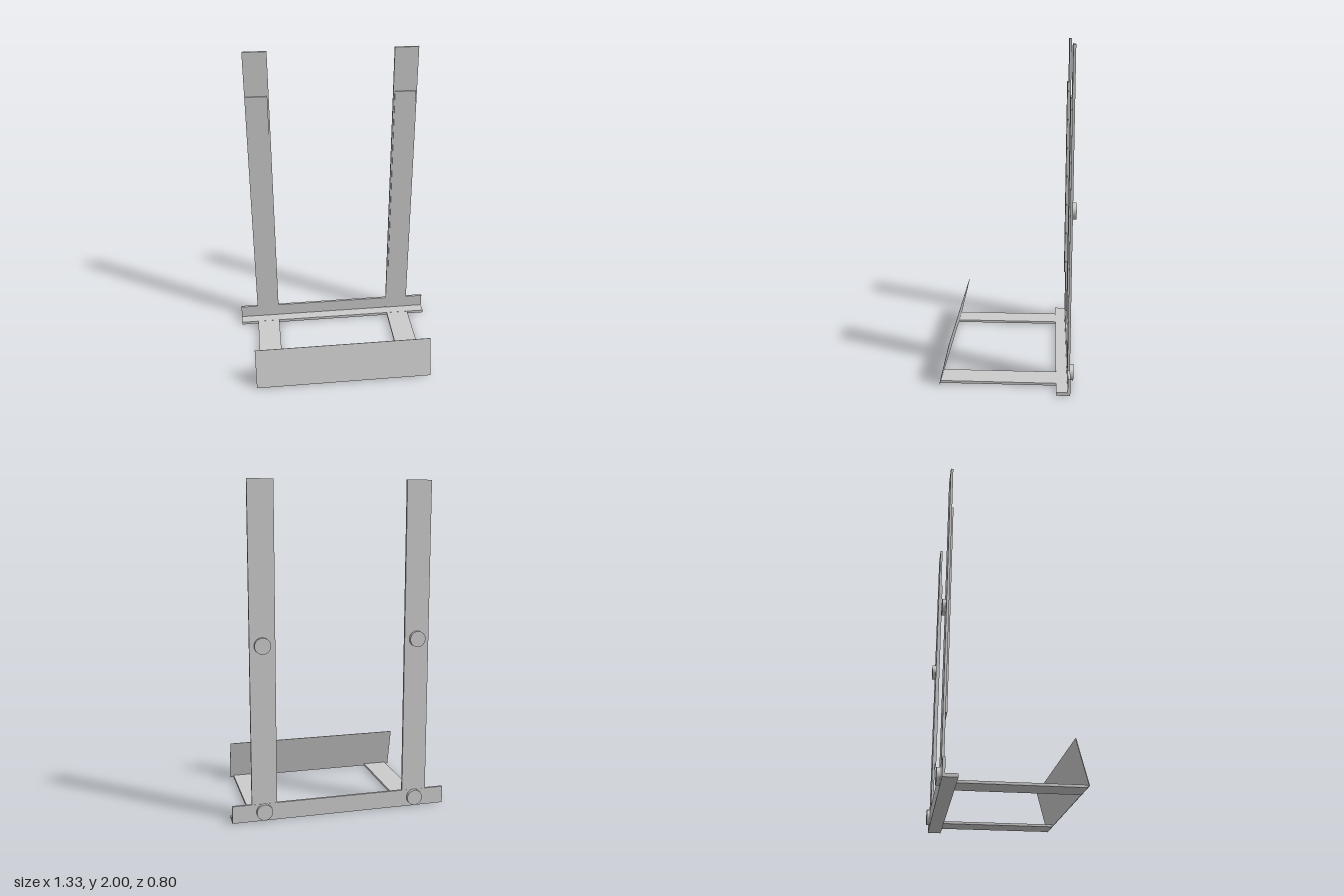
import * as THREE from 'three';

const material = new THREE.MeshStandardMaterial({ color: 0xcccccc, flatShading: true });
const smooth = new THREE.MeshStandardMaterial({ color: 0xcccccc });

export function createModel() {
  const group = new THREE.Group();

  // Box given by its extents along each axis
  function slab(name, [x0, x1], [y0, y1], [z0, z1]) {
    const mesh = new THREE.Mesh(new THREE.BoxGeometry(x1 - x0, y1 - y0, z1 - z0), material);
    mesh.position.set((x0 + x1) / 2, (y0 + y1) / 2, (z0 + z1) / 2);
    mesh.name = name;
    group.add(mesh);
  }

  // L-section rail across the back
  const rail = new THREE.Shape([
    [0.38, 0], [0.297, 0], [0.297, 0.02], [0.365, 0.02], [0.365, 0.105], [0.38, 0.105],
  ].map(([x, y]) => new THREE.Vector2(x, y)));
  const railGeometry = new THREE.ExtrudeGeometry(rail, { depth: 1.33, bevelEnabled: false });
  railGeometry.rotateY(Math.PI / 2).translate(-0.665, 0, 0);
  const railMesh = new THREE.Mesh(railGeometry, material);
  railMesh.name = 'angleRail';
  group.add(railMesh);

  for (const side of [-1, 1]) {
    const label = side > 0 ? 'left' : 'right';
    const span = (a, b) => (side > 0 ? [a, b] : [-b, -a]);

    // Upright, its front pad and the floor arm
    slab(label + 'Upright', span(0.396, 0.548), [0.005, 2], [-0.379, -0.364]);
    slab(label + 'Pad', span(0.405, 0.539), [0.39, 1.715], [-0.364, -0.355]);
    slab(label + 'Arm', span(0.396, 0.548), [0.004, 0.019], [-0.37, 0.395]);

    // Round magnets on the back
    for (const [place, y] of [['Lower', 0.057], ['Upper', 1.06]]) {
      const disc = new THREE.Mesh(new THREE.CylinderGeometry(0.048, 0.048, 0.023, 32), smooth);
      disc.rotation.x = Math.PI / 2;
      disc.position.set(side * 0.473, y, -0.3895);
      disc.name = label + place + 'Disc';
      group.add(disc);
    }
  }

  // Thin front lip leaning back
  const bottom = new THREE.Vector2(0.397, 0.007);
  const top = new THREE.Vector2(0.334, 0.266);
  const lip = new THREE.Mesh(new THREE.BoxGeometry(1.146, bottom.distanceTo(top), 0.004), material);
  lip.position.set(0, (bottom.y + top.y) / 2, (bottom.x + top.x) / 2);
  lip.rotation.x = Math.atan2(top.x - bottom.x, top.y - bottom.y);
  lip.name = 'frontLip';
  group.add(lip);

  return group;
}
